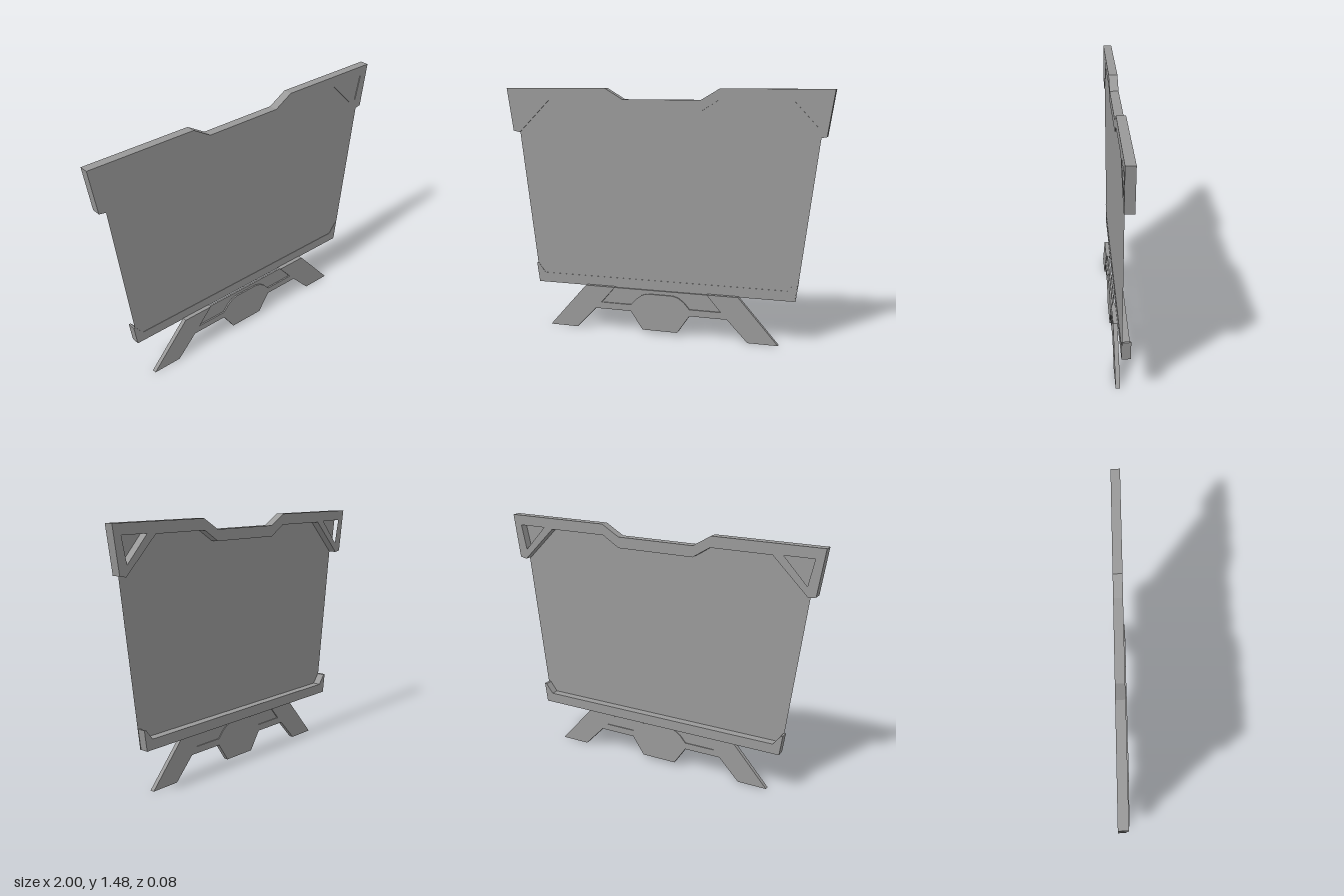
import * as THREE from 'three';

const material = new THREE.MeshStandardMaterial({ color: 0x999999, flatShading: true });
const sheetMaterial = new THREE.MeshStandardMaterial({ color: 0x999999, side: THREE.DoubleSide });

// Complete a symmetrical outline from its right half, listed top centre to bottom centre
function mirrored(half) {
  const other = half.map(([x, y]) => [-x, y]).reverse();
  return [...half, ...other];
}

const toPoints = (list) => list.map(([x, y]) => new THREE.Vector2(x, y));

// Extrude an outline between two depths
function slab(name, outline, back, front, holes = []) {
  const shape = new THREE.Shape(toPoints(outline));
  for (const hole of holes) shape.holes.push(new THREE.Path(toPoints(hole)));
  const geometry = new THREE.ExtrudeGeometry(shape, { depth: front - back, bevelEnabled: false });
  geometry.translate(0, 0, back);
  const mesh = new THREE.Mesh(geometry, material);
  mesh.name = name;
  return mesh;
}

export function createModel() {
  const model = new THREE.Group();
  model.name = 'displayScreen';

  // Thin screen sheet, widening behind the top frame and set slightly to the left
  const sheetOutline = mirrored([
    [0.23, 1.38], [0.34, 1.45], [0.98, 1.45], [0.945, 1.225], [0.923, 1.21], [0.806, 0.266],
  ]);
  const sheet = new THREE.Mesh(
    new THREE.ShapeGeometry(new THREE.Shape(toPoints(sheetOutline))), sheetMaterial);
  sheet.position.set(0.006, 0, 0.012);
  sheet.name = 'screen';
  model.add(sheet);

  // Top frame with a central notch and triangular corner openings
  const triangle = [[0.943, 1.415], [0.77, 1.415], [0.91, 1.265]];
  const topFrame = mirrored([
    [0.24, 1.41], [0.35, 1.475], [1, 1.475], [0.96, 1.213], [0.918, 1.205],
    [0.71, 1.41], [0.345, 1.41], [0.24, 1.345],
  ]);
  model.add(slab('topFrame', topFrame, -0.036, 0.0165,
    [triangle, triangle.map(([x, y]) => [-x, y])]));

  // Bottom frame with upturned corners
  const bottomFrame = mirrored([
    [0.765, 0.325], [0.81, 0.383], [0.823, 0.385], [0.806, 0.265],
  ]);
  model.add(slab('bottomFrame', bottomFrame, -0.036, 0.0145));

  // Stand: two splayed legs, crossbar and central hub
  const stand = mirrored([
    [0.08, 0.245], [0.115, 0.235], [0.15, 0.21], [0.185, 0.17], [0.378, 0.17], [0.29, 0.27],
    [0.48, 0.27], [0.72, 0], [0.54, 0], [0.415, 0.13], [0.185, 0.13], [0.11, 0.02],
  ]);
  model.add(slab('stand', stand, 0.0145, 0.04));

  // Recessed web filling the gap between the legs
  const web = mirrored([[0.293, 0.267], [0.378, 0.168], [0.18, 0.16]]);
  model.add(slab('standWeb', web, 0.02, 0.031));

  return model;
}
